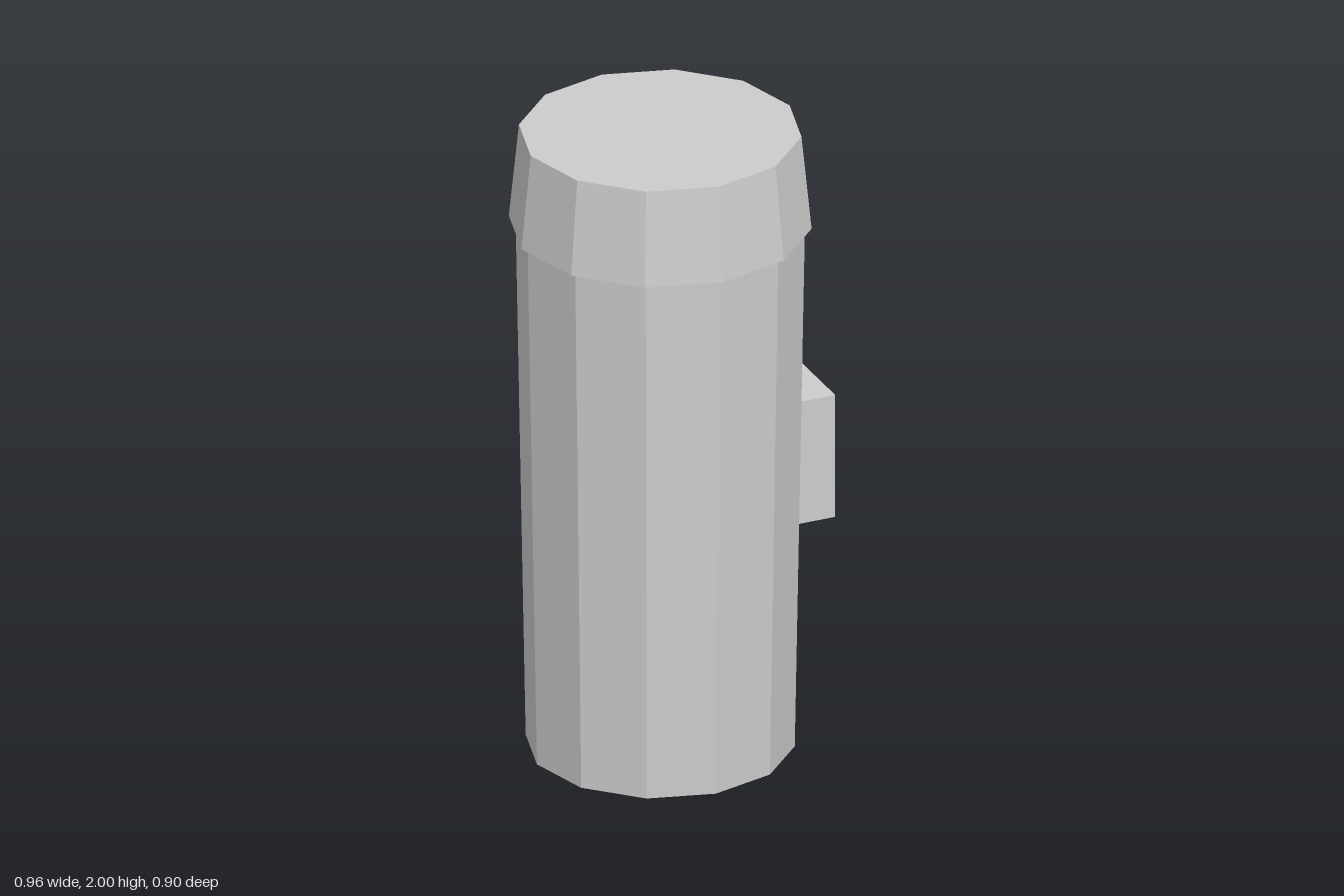
import * as THREE from 'three';

export function createModel() {
  const group = new THREE.Group();
  const grey = new THREE.MeshStandardMaterial({ color: 0xcccccc, flatShading: true });
  grey.name = 'grey';

  const sides = 12;
  const axisX = -0.03; // the side block shifts the round axis off centre

  const add = (name, geometry, x, y, z) => {
    const mesh = new THREE.Mesh(geometry, grey);
    mesh.name = name;
    mesh.position.set(x, y, z);
    group.add(mesh);
    return mesh;
  };

  // Body widens slightly upwards; the lid overhangs it and tapers in
  add('body', new THREE.CylinderGeometry(0.43, 0.4, 1.7, sides), axisX, 0.85, 0);
  add('lid', new THREE.CylinderGeometry(0.42, 0.45, 0.3, sides), axisX, 1.85, 0);

  // Block sunk into the body, facing 30 degrees round from +x towards +z
  const angle = Math.PI / 6;
  const depth = 0.2;
  const reach = 0.5 - depth / 2;
  const block = add('sideBlock', new THREE.BoxGeometry(depth, 0.4, 0.3),
    axisX + reach * Math.cos(angle), 0.9, reach * Math.sin(angle));
  block.rotation.y = -angle;

  return group;
}
